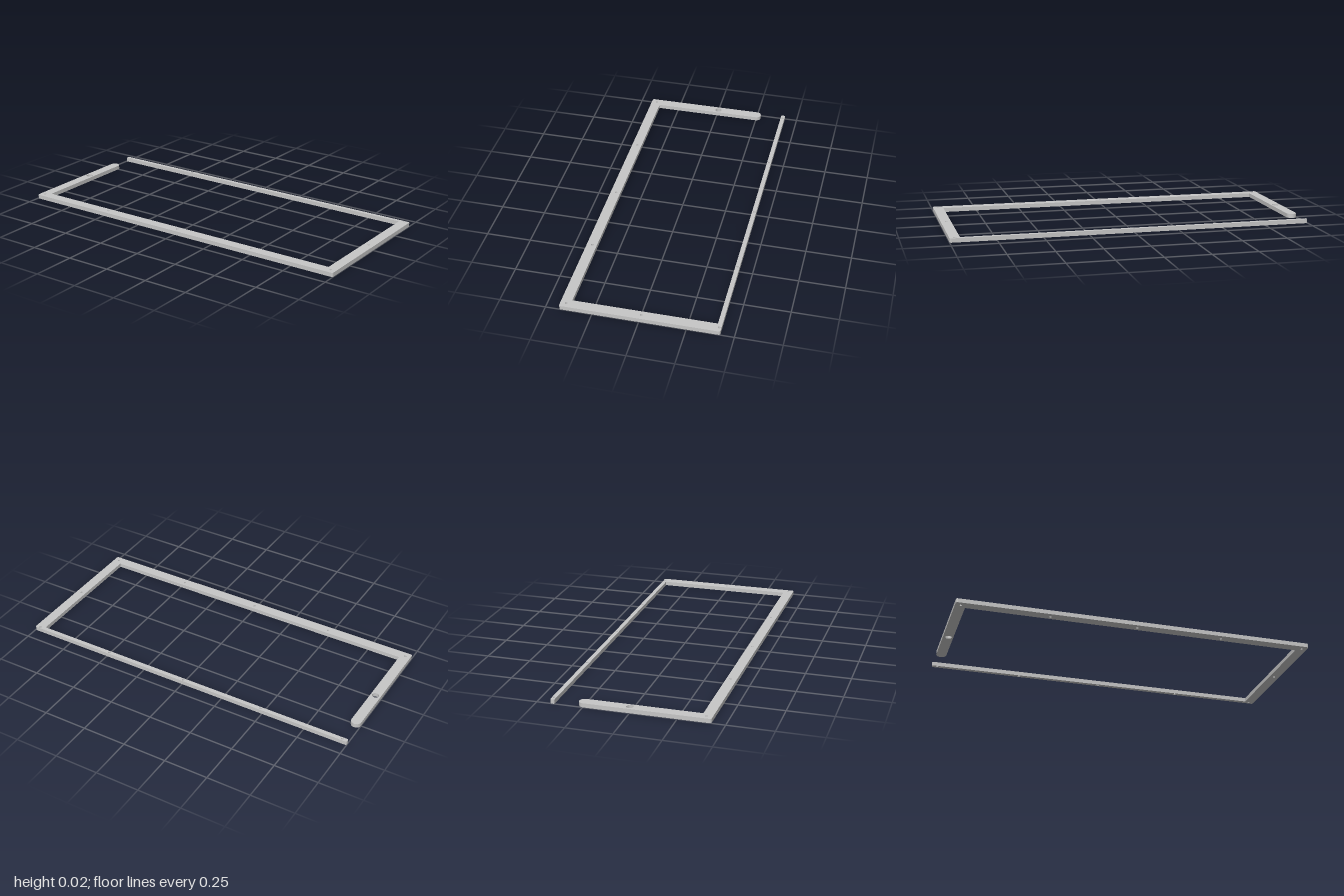
import * as THREE from 'three';

const HEIGHT = 0.023;
const X = 1, Z = 0.427;      // outer half sizes
const WIDE = 0.057;          // width of the front and side bars
const THIN = 0.024;          // width of the back rail
const TIP = 0.277;           // how far back the free arm reaches
const R = 0.01;              // small outer corner radius

// Outline corners [x, depth, radius]; depth points to the back (-z)
const outline = [
  [-X, -Z, R], [X, -Z, R], [X, Z, R], [-X, Z, R], [-X, Z - THIN, 0.006],
  [X - WIDE, Z - THIN, 0], [X - WIDE, -Z + WIDE, 0], [-X + WIDE, -Z + WIDE, 0],
  [-X + WIDE, TIP, WIDE / 2], [-X, TIP, WIDE / 2],
];

// Polygon with circular arcs at its right-angled corners
function roundedShape(points) {
  const n = points.length;
  const corner = (i) => new THREE.Vector2(points[i % n][0], points[i % n][1]);
  const vertices = [];
  points.forEach(([x, y, r], i) => {
    const p = corner(i);
    const a = corner(i + n - 1).sub(p).normalize().multiplyScalar(r);
    const b = corner(i + 1).sub(p).normalize().multiplyScalar(r);
    const steps = r > 0 ? 8 : 0;
    for (let k = 0; k <= steps; k++) {
      const t = steps ? (k / steps) * Math.PI / 2 : 0;
      const u = 1 - Math.sin(t), v = 1 - Math.cos(t);
      vertices.push(new THREE.Vector2(x + a.x * u + b.x * v, y + a.y * u + b.y * v));
    }
  });
  return new THREE.Shape(vertices);
}

export function createModel() {
  const group = new THREE.Group();
  group.name = 'openFrame';
  const grey = new THREE.MeshStandardMaterial({ color: 0xc6c6c6 });
  grey.name = 'lightGrey';

  // Holes [x, depth, radius]: the large one in the free arm, one in the side bar
  const holes = [[-0.97, 0.006, 0.019], [0.97, 0.006, 0.007]];
  // Screw holes along the front bar and back rail
  for (const x of [-0.97, -0.486, 0, 0.486, 0.97]) {
    holes.push([x, -0.395, 0.007], [x, 0.415, 0.007]);
  }

  const shape = roundedShape(outline);
  for (const [x, y, r] of holes) {
    shape.holes.push(new THREE.Path().absarc(x, y, r, 0, Math.PI * 2, true));
  }

  const geometry = new THREE.ExtrudeGeometry(shape, {
    depth: HEIGHT, bevelEnabled: false, curveSegments: 16,
  });
  geometry.rotateX(-Math.PI / 2);
  const frame = new THREE.Mesh(geometry, grey);
  frame.name = 'frame';
  group.add(frame);
  return group;
}
